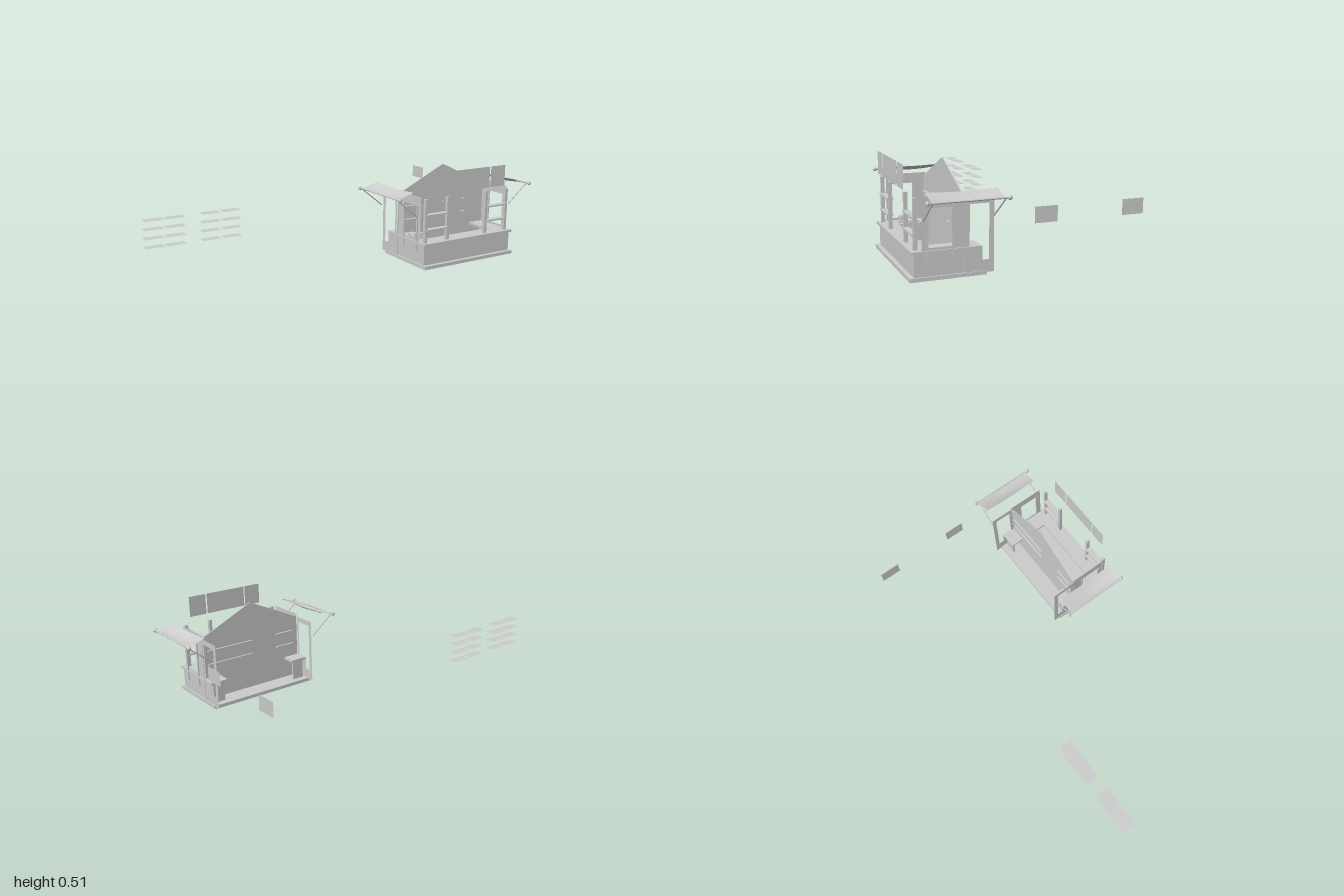
import * as THREE from 'three';

const MID = 0.538; // centre line of the stall in x
const mat = new THREE.MeshStandardMaterial({ color: 0xcccccc, flatShading: true });
const thin = new THREE.MeshStandardMaterial({ color: 0xcccccc, side: THREE.DoubleSide });

export function createModel() {
  const root = new THREE.Group();

  const add = (name, geo, m = mat) => {
    const mesh = new THREE.Mesh(geo, m);
    mesh.name = name;
    root.add(mesh);
    return mesh;
  };
  // box given by its limits on each axis
  const box = (name, x0, x1, y0, y1, z0, z1) =>
    add(name, new THREE.BoxGeometry(Math.abs(x1 - x0), y1 - y0, z1 - z0)
      .translate((x0 + x1) / 2, (y0 + y1) / 2, (z0 + z1) / 2));
  const outline = (pts) => new THREE.Shape(pts.map(([a, b]) => new THREE.Vector2(a, b)));
  // flat panel in a plane of constant x; points are [z, y]
  const sidePanel = (name, x, pts, hole) => {
    const s = outline(pts.map(([z, y]) => [-z, y]));
    if (hole) s.holes.push(new THREE.Path(hole.map(([z, y]) => new THREE.Vector2(-z, y))));
    return add(name, new THREE.ShapeGeometry(s).rotateY(Math.PI / 2).translate(x, 0, 0), thin);
  };
  const rect = (a0, a1, b0, b1) => [[a0, b0], [a1, b0], [a1, b1], [a0, b1]];
  const frontCard = (name, x0, x1, y0, y1, z) =>
    add(name, new THREE.ShapeGeometry(outline(rect(x0, x1, y0, y1))).translate(0, 0, z), thin);
  const rod = (name, a, b, r, sides = 8) => {
    const p = new THREE.Vector3(...a), q = new THREE.Vector3(...b), d = q.clone().sub(p);
    const mesh = add(name, new THREE.CylinderGeometry(r, r, d.length(), sides));
    mesh.position.copy(p).add(q).multiplyScalar(0.5);
    mesh.quaternion.setFromUnitVectors(new THREE.Vector3(0, 1, 0), d.normalize());
    return mesh;
  };

  // base, front and counter
  box('base', 0.233, 0.842, 0, 0.018, 0.185, 0.55);
  box('frontPanel', 0.245, 0.832, 0.018, 0.124, 0.515, 0.528);
  box('frontCounter', 0.233, 0.842, 0.124, 0.137, 0.45, 0.542);

  // gabled dividing wall
  add('gableWall', new THREE.ExtrudeGeometry(
    outline([[0.238, 0.018], [0.838, 0.018], [0.838, 0.36], [MID, 0.5], [0.238, 0.36]]),
    { depth: 0.006, bevelEnabled: false }).translate(0, 0, 0.287));

  // wall shelves
  for (const y of [0.21, 0.285]) {
    box('wallShelf', 0.27, 0.385, y - 0.004, y + 0.004, 0.277, 0.308);
    box('wallShelf', 0.54, 0.81, y - 0.004, y + 0.004, 0.277, 0.308);
  }
  frontCard('wallCard', 0.54, 0.66, 0.21, 0.34, 0.31);
  frontCard('wallCard', 0.69, 0.8, 0.21, 0.34, 0.31);

  // front display racks standing on the counter
  for (const [x0, x1] of [[0.248, 0.408], [0.655, 0.815]]) {
    for (const x of [x0, x1 - 0.016]) box('rackPost', x, x + 0.016, 0.137, 0.372, 0.505, 0.523);
    for (const y of [0.205, 0.285])
      box('rackShelf', x0 + 0.008, x1 - 0.008, y - 0.004, y + 0.004, 0.498, 0.53);
  }

  // sides, mirrored about the centre line
  for (const s of [1, -1]) {
    const X = (d) => MID + s * d;
    box('sidePanel', X(0.286), X(0.296), 0.018, 0.124, 0.27, 0.528);
    box('sideCounter', X(0.207), X(0.304), 0.124, 0.137, 0.21, 0.45);
    box('counterSupport', X(0.22), X(0.286), 0.018, 0.124, 0.222, 0.232);

    // window frame
    const frame = sidePanel('windowFrame', X(0.297),
      rect(0.283, 0.492, 0.137, 0.378), rect(0.348, 0.466, 0.148, 0.327));
    frame.geometry.computeVertexNormals();
    for (const z of [0.348, 0.466])
      box('frameLeg', X(0.297), X(0.303), 0.078, 0.33, z - 0.004, z + 0.004);

    // stepped door frame
    sidePanel('doorFrame', X(0.3),
      [[0.15, 0.01], [0.27, 0.01], [0.283, 0.01], [0.283, 0.36], [0.15, 0.36]],
      [[0.174, 0.07], [0.207, 0.07], [0.207, 0.137], [0.268, 0.137], [0.268, 0.332], [0.174, 0.332]]);

    // sagging awning cloth
    const cloth = new THREE.PlaneGeometry(1, 1, 8, 12);
    const p = cloth.attributes.position;
    for (let i = 0; i < p.count; i++) {
      const u = p.getX(i) + 0.5, v = p.getY(i) + 0.5;
      const sag = 0.014 * Math.sin(Math.PI * v) * Math.sin(Math.PI * (0.15 + 0.75 * u));
      p.setXYZ(i, X(0.352 + 0.1 * u), 0.41 - 0.026 * Math.sin(u * Math.PI / 2) - sag, 0.157 + 0.334 * v);
    }
    cloth.computeVertexNormals();
    add('awningCloth', cloth, thin);
    rod('awningBar', [X(0.447), 0.382, 0.14], [X(0.447), 0.382, 0.512], 0.005);
    for (const z of [0.14, 0.512]) {
      add('awningKnob', new THREE.SphereGeometry(0.011, 8, 6).translate(X(0.447), 0.382, z));
    }
    for (const z of [0.158, 0.49]) {
      rod('awningStrut', [X(0.317), 0.276, z], [X(0.447), 0.38, z], 0.0035, 6);
      rod('clothEdge', [X(0.35), 0.409, z], [X(0.375), 0.396, z], 0.002, 6);
    }
  }

  // till on the counter
  const till = new THREE.Group();
  till.name = 'till';
  const tray = new THREE.Mesh(new THREE.BoxGeometry(0.06, 0.012, 0.1), mat);
  tray.name = 'tillTray';
  const top = new THREE.Mesh(new THREE.BoxGeometry(0.045, 0.02, 0.022), mat);
  top.name = 'tillTop';
  top.position.set(0, 0.016, 0.04);
  till.add(tray, top);
  till.position.set(0.292, 0.143, 0.39);
  till.rotation.y = -0.35;
  root.add(till);

  // sign boards above the front
  for (const [x0, x1] of [[0.315, 0.41], [0.416, 0.652], [0.66, 0.76]])
    frontCard('signBoard', x0, x1, 0.4, 0.513, 0.55);

  // separate upright cards beside the stall
  for (const z of [-0.105, -0.552])
    sidePanel('uprightCard', 0.96, rect(z, z + 0.113, 0.25, 0.325));

  // stacks of loose flat cards
  for (const y of [0.09, 0.14, 0.19, 0.24])
    for (const x of [-0.945, -0.825, -0.622, -0.498])
      add('flatCard', new THREE.PlaneGeometry(0.108, 0.06).rotateX(-Math.PI / 2).translate(x, y, -0.292), thin);

  return root;
}
